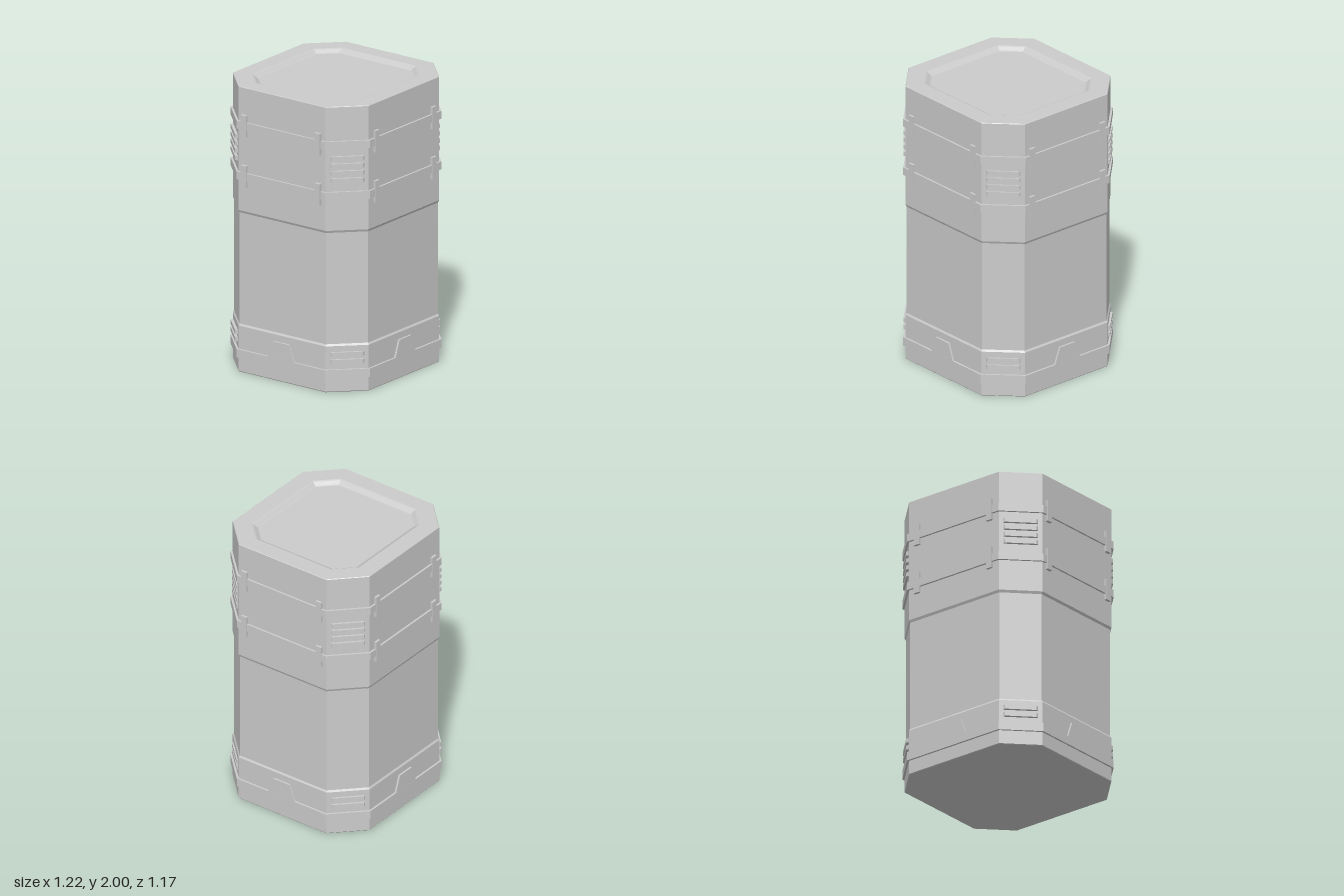
import * as THREE from 'three';

const HX = 0.59, HZ = 0.57, CUT = 0.205; // half width, half depth, corner cut
const material = new THREE.MeshStandardMaterial({ color: 0xcccccc, flatShading: true });

// Chamfered-rectangle ring, pushed outward by d, at height y
function ring(d, y) {
  const x = HX + d, z = HZ + d, c = CUT + 0.586 * d;
  return [[x, z - c], [x - c, z], [c - x, z], [-x, z - c],
    [-x, c - z], [c - x, -z], [x - c, -z], [x, c - z]].map(([px, pz]) => [px, y, pz]);
}

// Skin a [offset, height] profile, optionally closing both ends
function loft(name, profile, capped) {
  const rings = profile.map(([d, y]) => ring(d, y));
  const pos = [];
  const tri = (...pts) => pts.forEach((p) => pos.push(...p));
  for (let r = 0; r + 1 < rings.length; r++) {
    for (let i = 0; i < 8; i++) {
      const j = (i + 1) % 8;
      const a = rings[r][i], b = rings[r][j], A = rings[r + 1][i], B = rings[r + 1][j];
      tri(a, A, b);
      tri(b, A, B);
    }
  }
  if (capped) {
    const low = rings[0], high = rings[rings.length - 1];
    for (let i = 0; i < 8; i++) {
      const j = (i + 1) % 8;
      tri([0, low[0][1], 0], low[i], low[j]);
      tri([0, high[0][1], 0], high[j], high[i]);
    }
  }
  const geo = new THREE.BufferGeometry();
  geo.setAttribute('position', new THREE.Float32BufferAttribute(pos, 3));
  geo.computeVertexNormals();
  return named(new THREE.Mesh(geo, material), name);
}

function named(object, name) {
  object.name = name;
  return object;
}

function extrude(points, depth) {
  const shape = new THREE.Shape(points.map(([x, y]) => new THREE.Vector2(x, y)));
  return new THREE.ExtrudeGeometry(shape, { depth, bevelEnabled: false });
}

export function createModel() {
  const model = named(new THREE.Group(), 'container');

  // Body with recessed waist and sunken lid panel
  model.add(loft('body', [
    [-0.004, 0], [0, 0.005], [0, 0.322], [-0.008, 0.335], [-0.008, 1.115], [0, 1.132],
    [0, 1.996], [-0.004, 2], [-0.122, 2], [-0.132, 1.996], [-0.155, 1.979], [-0.163, 1.975],
  ], true));

  // Raised bands round the body
  const band = (name, y0, y1) => model.add(
    loft(name, [[-0.02, y0], [0.014, y0], [0.014, y1], [-0.02, y1]], false));
  band('baseBand', 0.1, 0.16);
  band('lowerBand', 1.35, 1.405);
  band('upperBand', 1.705, 1.76);

  // Clips and base tab on each of the four wide sides
  const tabGeo = extrude([[-0.112, 0.15], [0.112, 0.15], [0.065, 0.275], [-0.065, 0.275]], 0.034);
  const clipGeo = new THREE.BoxGeometry(0.045, 0.152, 0.04);
  ['front', 'left', 'back', 'right'].forEach((side, k) => {
    const group = named(new THREE.Group(), side + 'Fittings');
    const dist = k % 2 ? HX : HZ;
    const tab = named(new THREE.Mesh(tabGeo, material), 'baseTab');
    tab.position.z = dist - 0.0205;
    group.add(tab);
    for (const y of [1.382, 1.734]) {
      for (const x of [-0.31, 0.31]) {
        const clip = named(new THREE.Mesh(clipGeo, material), 'bandClip');
        clip.position.set(x, y, dist - 0.02 + (side === 'right' ? 0.021 : 0.017));
        group.add(clip);
      }
    }
    group.rotation.y = k * Math.PI / 2;
    model.add(group);
  });

  // Vent slats with sloped ends on the four cut corners
  const slatGeo = extrude([[-0.115, -0.02], [0.115, -0.02], [0.115, 0.004], [0.105, 0.015],
    [-0.105, 0.015], [-0.115, 0.004]], 0.03);
  slatGeo.rotateX(-Math.PI / 2).rotateY(Math.PI);
  const corners = [['frontLeft', 1, 1, 0.01], ['backLeft', 1, -1, 0.015],
    ['backRight', -1, -1, 0.019], ['frontRight', -1, 1, 0.015]];
  for (const [name, sx, sz, rise] of corners) {
    const vent = named(new THREE.Group(), name + 'Vent');
    for (const y of [0.215, 0.266, 1.485, 1.536, 1.587, 1.638]) {
      const slat = named(new THREE.Mesh(slatGeo, material), 'ventSlat');
      slat.position.set(0, y - 0.015, rise - 0.015);
      vent.add(slat);
    }
    vent.position.set(sx * (HX - CUT / 2), 0, sz * (HZ - CUT / 2));
    vent.rotation.y = Math.atan2(sx, sz);
    model.add(vent);
  }
  return model;
}
